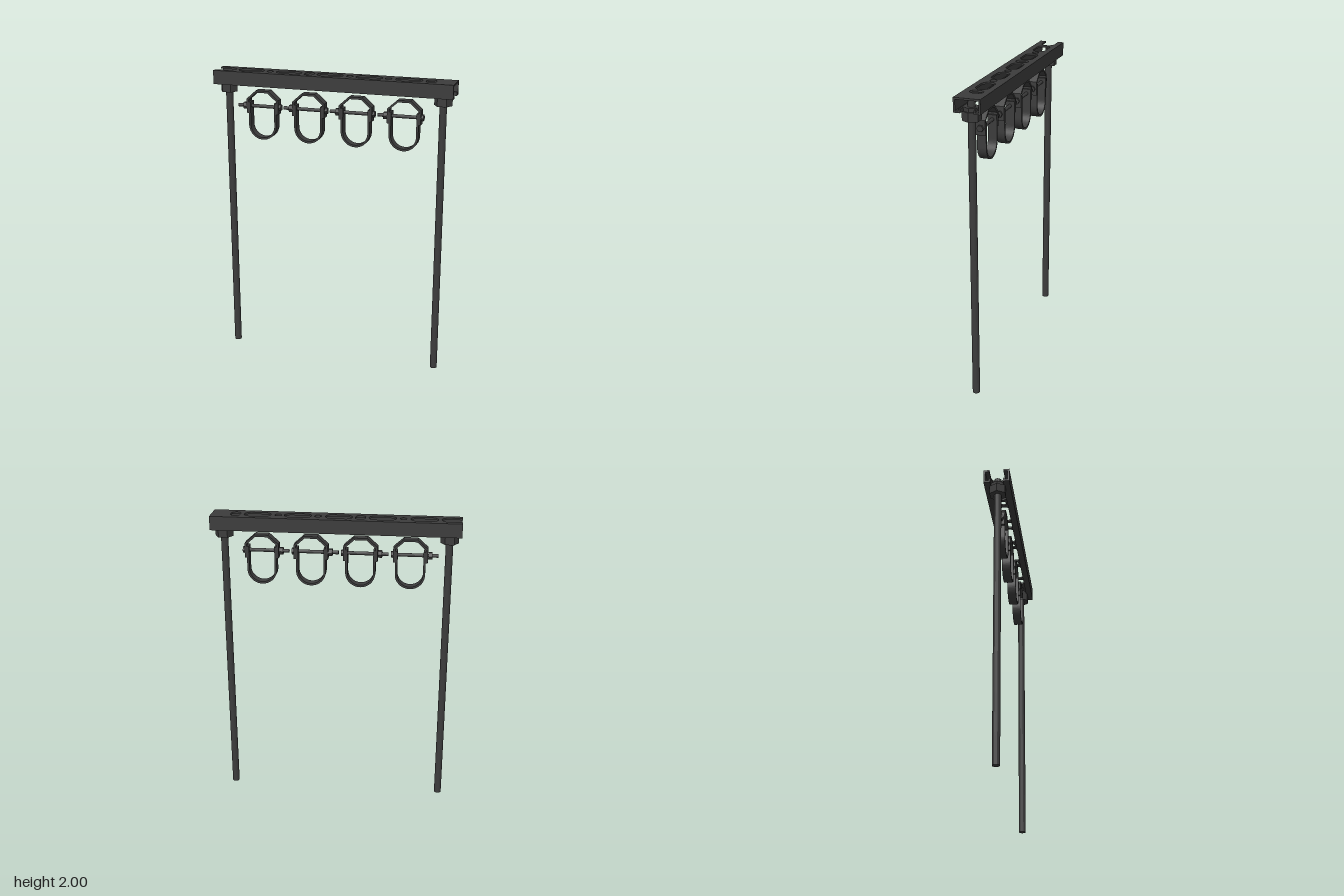
import * as THREE from 'three';

const steel = new THREE.MeshStandardMaterial({ color: 0x3c3c3c, flatShading: true });

function add(parent, name, geometry, x = 0, y = 0, z = 0) {
  const mesh = new THREE.Mesh(geometry, steel);
  mesh.name = name;
  mesh.position.set(x, y, z);
  parent.add(mesh);
  return mesh;
}

const extrude = (shape, depth) =>
  new THREE.ExtrudeGeometry(shape, { depth, bevelEnabled: false, curveSegments: 16 });
const polygon = (points) => new THREE.Shape(points.map(([x, y]) => new THREE.Vector2(x, y)));

// Slot outline with round ends, long side along x
function slot(cx, length, height) {
  const r = Math.min(height, length) / 2, h = length / 2 - r, v = height / 2 - r;
  const p = new THREE.Path();
  p.absarc(cx + h, v, r, 0, Math.PI / 2);
  p.absarc(cx - h, v, r, Math.PI / 2, Math.PI);
  p.absarc(cx - h, -v, r, Math.PI, Math.PI * 1.5);
  p.absarc(cx + h, -v, r, Math.PI * 1.5, Math.PI * 2);
  p.closePath();
  return p;
}

function createChannel() {
  const g = new THREE.Group();
  g.name = 'slottedChannel';
  const L = 0.81, W = 0.085, t = 0.012;

  // Top web: open half slot at one end, long and short slots along it
  const web = new THREE.Shape();
  web.moveTo(-L, -W);
  web.lineTo(L, -W);
  web.lineTo(L, W);
  web.lineTo(-L, W);
  web.lineTo(-L, 0.046);
  web.lineTo(-0.725, 0.046);
  web.absarc(-0.725, 0, 0.046, Math.PI / 2, -Math.PI / 2, true);
  web.lineTo(-L, -0.046);
  web.closePath();
  for (const x of [-0.568, -0.302, -0.02, 0.245, 0.508]) web.holes.push(slot(x, 0.176, 0.088));
  for (const x of [-0.16, 0.652]) web.holes.push(slot(x, 0.064, 0.088));
  for (const x of [-0.435, 0.115, 0.373]) web.holes.push(slot(x, 0.044, 0.044));
  add(g, 'channelWeb', extrude(web, t).rotateX(-Math.PI / 2), 0, 2 - t, 0);

  // Side walls with inward, upturned lips
  for (const s of [-1, 1]) {
    const wall = polygon([
      [W, 2 - t], [W, 1.908], [0.042, 1.908], [0.042, 1.932], [0.052, 1.932],
      [0.052, 1.92], [W - t, 1.92], [W - t, 2 - t],
    ].map(([z, y]) => [s * z, y]));
    add(g, 'channelWall', extrude(wall, 2 * L).rotateY(Math.PI / 2), -L, 0, 0);
  }
  return g;
}

function createRod(x) {
  const g = new THREE.Group();
  g.name = 'threadedRod';
  g.position.x = x;
  add(g, 'rod', new THREE.CylinderGeometry(0.024, 0.024, 1.97, 16), 0, 0.985);
  // Hex corners point along the channel
  const hex = (r, h) => new THREE.CylinderGeometry(r, r, h, 6).rotateY(Math.PI / 6);
  add(g, 'lowerNut', hex(0.059, 0.058), 0, 1.879);
  add(g, 'upperNut', hex(0.05, 0.026), 0, 1.92);
  return g;
}

function createClamp(x) {
  const g = new THREE.Group();
  g.name = 'pipeClamp';
  g.position.set(x, 0, 0);
  const depth = 0.06, t = 0.014;

  // U-shaped lower strap
  const r = 0.098, cy = 1.635, top = 1.79;
  const u = new THREE.Shape();
  u.moveTo(-r, top);
  u.lineTo(-r, cy);
  u.absarc(0, cy, r, Math.PI, Math.PI * 2);
  u.lineTo(r, top);
  u.lineTo(r - t, top);
  u.lineTo(r - t, cy);
  u.absarc(0, cy, r - t, Math.PI * 2, Math.PI, true);
  u.lineTo(-r + t, top);
  u.closePath();
  add(g, 'lowerStrap', extrude(u, depth), 0, 0, -depth / 2);

  // Angular upper yoke
  const outer = [[-0.112, 1.715], [-0.112, 1.81], [-0.045, 1.87]];
  const inner = [[-0.098, 1.715], [-0.098, 1.804], [-0.04, 1.856]];
  const flip = (pts) => pts.map(([a, b]) => [-a, b]).reverse();
  const yoke = polygon([...outer, ...flip(outer), ...flip(inner).reverse(), ...inner.slice().reverse()]);
  add(g, 'upperYoke', extrude(yoke, depth), 0, 0, -depth / 2);

  // Cross bolt with head and nut
  const along = (rad, len, sides) => new THREE.CylinderGeometry(rad, rad, len, sides).rotateZ(Math.PI / 2);
  add(g, 'crossBolt', along(0.012, 0.298, 12), -0.031, 1.76);
  add(g, 'boltHead', along(0.022, 0.015, 6), 0.1195, 1.76);
  add(g, 'boltNut', along(0.025, 0.026, 6), -0.127, 1.76);
  return g;
}

export function createModel() {
  const model = new THREE.Group();
  model.name = 'pipeHangerTrapeze';
  model.add(createChannel());
  for (const x of [-0.733, 0.733]) model.add(createRod(x));
  for (let i = 0; i < 4; i++) model.add(createClamp(-0.487 + i * 0.324));
  return model;
}
